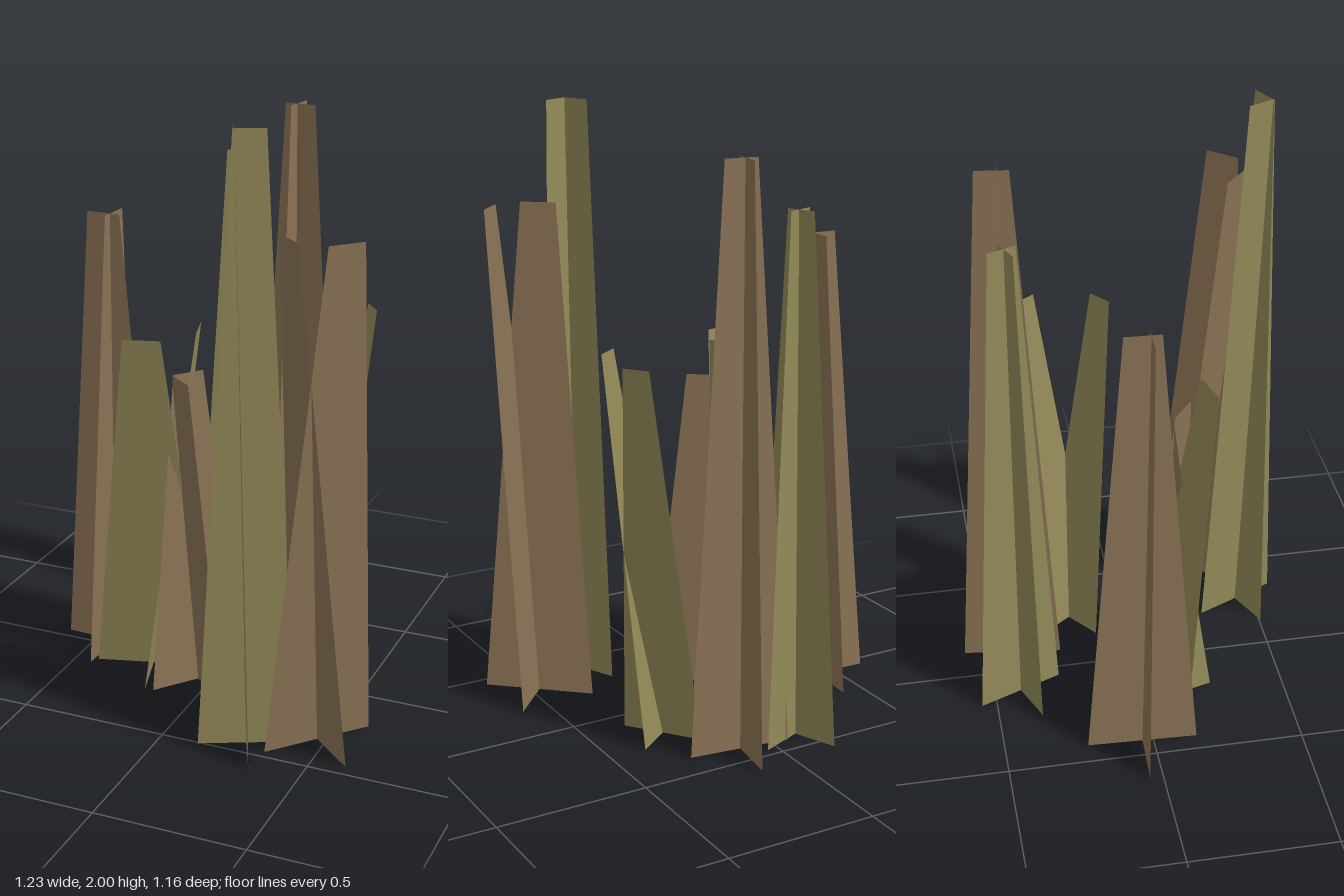
import * as THREE from 'three';

const OLIVE = 0x938a58, BROWN = 0x8b7355;
const TAPER = 0.32; // top width over bottom width

// x, z, height, base width, lean direction (degrees from +x towards +z), lean distance, colour
const TUFTS = [
  [-0.105, -0.41, 1.73, 0.307, 22.6, 0.008, OLIVE],
  [0.108, -0.413, 1.9, 0.342, 142, 0.012, BROWN],
  [-0.43, -0.037, 1.57, 0.37, 47.3, 0.025, BROWN],
  [0.267, -0.185, 1.27, 0.275, 7.7, 0.18, OLIVE],
  [0.268, 0.44, 2.0, 0.31, 110, 0.044, OLIVE],
  [0.47, 0.33, 1.675, 0.38, 86.7, 0.124, BROWN],
  [-0.235, 0.062, 1.23, 0.39, 29, 0.163, OLIVE],
  [-0.045, 0.11, 1.09, 0.344, 173.5, 0.06, BROWN],
];

// Flat tapered blade: base edge runs along `edge`, the tip is shifted along `tilt`
function makeBlade(edge, tilt, height, width, lean, material) {
  const geometry = new THREE.PlaneGeometry(width, height);
  const p = geometry.attributes.position;
  for (let i = 0; i < p.count; i++) {
    const top = p.getY(i) > 0;
    const s = p.getX(i) * (top ? TAPER : 1);
    const l = top ? lean : 0;
    p.setXYZ(i, edge.x * s + tilt.x * l, top ? height : 0, edge.y * s + tilt.y * l);
  }
  geometry.computeVertexNormals();
  const mesh = new THREE.Mesh(geometry, material);
  mesh.name = 'blade';
  return mesh;
}

export function createModel() {
  const group = new THREE.Group();
  group.name = 'reedClump';
  const materials = new Map([OLIVE, BROWN].map((color) => [
    color, new THREE.MeshStandardMaterial({ color, side: THREE.DoubleSide, flatShading: true }),
  ]));

  // Each tuft is a pair of crossed blades, each leaning along the other's edge
  TUFTS.forEach(([x, z, height, width, angle, lean, color], i) => {
    const dir = (deg) => new THREE.Vector2(1, 0).rotateAround(new THREE.Vector2(), THREE.MathUtils.degToRad(deg));
    const u = dir(angle + 45), v = dir(angle - 45);
    const tuft = new THREE.Group();
    tuft.name = `tuft${i + 1}`;
    tuft.add(
      makeBlade(u, v, height, width, lean, materials.get(color)),
      makeBlade(v, u, height, width, lean, materials.get(color)),
    );
    tuft.position.set(x, 0, z);
    group.add(tuft);
  });
  return group;
}
